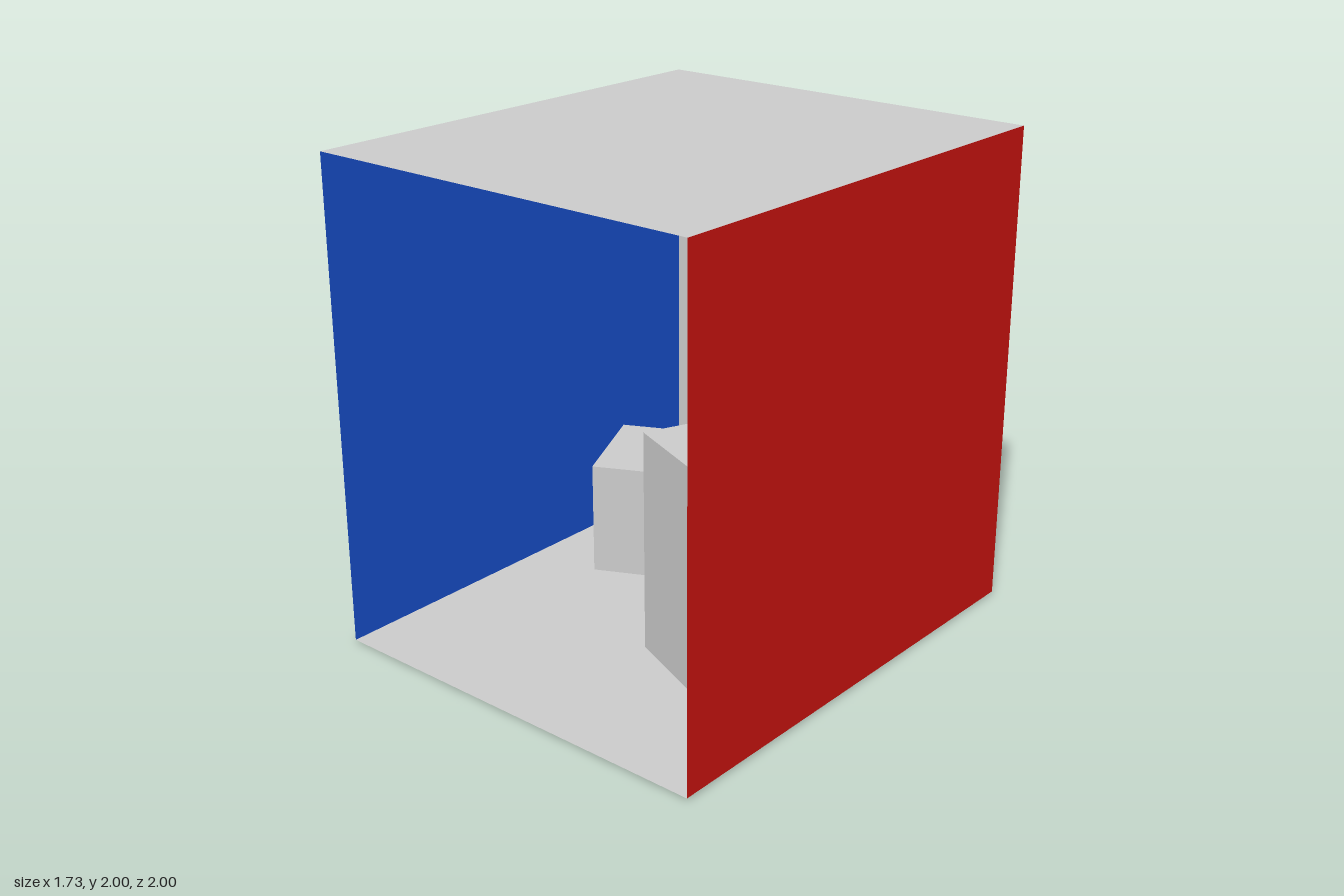
import * as THREE from 'three';

const HALF_W = 0.863, HALF_D = 1, FLOOR = 0.01, TOP = 2;

export function createModel() {
  const model = new THREE.Group();
  model.name = 'openRoom';

  const paint = (color) => new THREE.MeshStandardMaterial({ color, side: THREE.DoubleSide });
  const grey = paint(0xcccccc), red = paint(0xcc1410), blue = paint(0x174fcb);

  // Thin panel, turned so that it faces the inside of the room
  const panel = (name, w, h, material, position, rotX, rotY) => {
    const mesh = new THREE.Mesh(new THREE.PlaneGeometry(w, h), material);
    mesh.name = name;
    mesh.position.set(...position);
    mesh.rotation.set(rotX, rotY, 0);
    model.add(mesh);
  };

  // Square block standing on the floor, turned about the vertical
  const block = (name, side, bottom, top, x, z, degrees) => {
    const mesh = new THREE.Mesh(new THREE.BoxGeometry(side, top - bottom, side), grey);
    mesh.name = name;
    mesh.position.set(x, (top + bottom) / 2, z);
    mesh.rotation.y = THREE.MathUtils.degToRad(degrees);
    model.add(mesh);
  };

  const height = TOP - FLOOR, mid = (TOP + FLOOR) / 2, quarter = Math.PI / 2;

  // Room shell, open at the front
  panel('floor', 2 * HALF_W, 2 * HALF_D, grey, [0, FLOOR, 0], -quarter, 0);
  panel('ceiling', 2 * HALF_W, 2 * HALF_D, grey, [0, TOP, 0], quarter, 0);
  panel('backWall', 2 * HALF_W, height, grey, [0, mid, -HALF_D], 0, 0);
  panel('leftWall', 2 * HALF_D, height, red, [HALF_W, mid, 0], 0, -quarter);
  panel('rightWall', 2 * HALF_D, height, blue, [-HALF_W, mid, 0], 0, quarter);

  // Blocks inside; the tall one sinks slightly through the floor
  block('tallBlock', 0.483, 0, 0.93, 0.375, 0.17, -22.8);
  block('shortBlock', 0.482, 0.013, 0.497, -0.442, -0.39, 26);

  return model;
}
